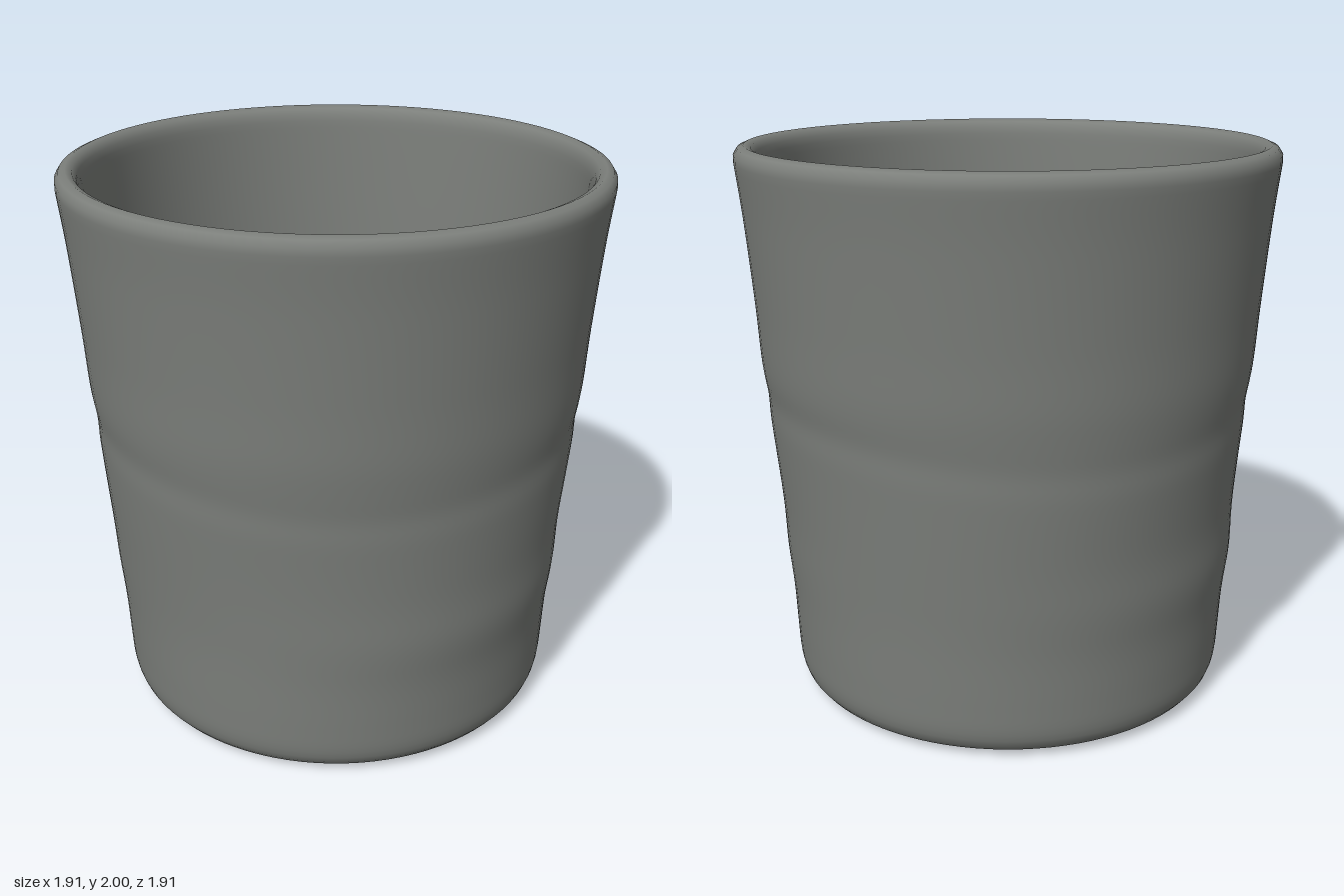
import * as THREE from 'three';
import { mergeVertices } from 'three/addons/utils/BufferGeometryUtils.js';

const SEGMENTS = 96;
const bump = (y, centre, width) => Math.exp(-(((y - centre) / width) ** 2));

// Turned profile, smoothed through a few points
function smoothProfile(points, samples) {
  const curve = new THREE.SplineCurve(points.map(([r, y]) => new THREE.Vector2(r, y)));
  return curve.getSpacedPoints(samples);
}

// Slight hand-made unevenness in the wall
function roughen(geometry) {
  const p = geometry.attributes.position;
  for (let i = 0; i < p.count; i++) {
    const x = p.getX(i), y = p.getY(i), z = p.getZ(i);
    const r = Math.hypot(x, z);
    if (r < 0.78) continue;
    const a = Math.atan2(z, x);
    const d = 0.012 * Math.sin(a) ** 2 * bump(y, 0.52, 0.13)
      - 0.004 * bump(y, 1.08 + 0.04 * Math.sin(2 * a), 0.06)
      + 0.003 * Math.sin(3 * a + 4 * y) * bump(y, 0.8, 0.5);
    p.setXYZ(i, x * (1 + d / r), y, z * (1 + d / r));
  }
}

export function createModel() {
  const model = new THREE.Group();
  model.name = 'cup';
  const stoneware = new THREE.MeshStandardMaterial({ color: 0x7c7f7b });
  stoneware.name = 'grey stoneware';

  // Outer wall, rounded foot, rolled rim and inner wall in one turned body
  const profile = [
    new THREE.Vector2(0, 0),
    new THREE.Vector2(0.35, 0),
    ...smoothProfile([
      [0.68, 0.003], [0.74, 0.01], [0.785, 0.035], [0.807, 0.09], [0.815, 0.2],
      [0.825, 0.42], [0.838, 0.6], [0.873, 1.0], [0.883, 1.12], [0.897, 1.25],
      [0.91, 1.45], [0.935, 1.75], [0.955, 1.93], [0.957, 1.965], [0.942, 1.99],
      [0.918, 2.0], [0.893, 1.987], [0.88, 1.955], [0.874, 1.88], [0.86, 1.6],
      [0.848, 1.3],
    ], 110),
  ];
  const body = new THREE.LatheGeometry(profile, SEGMENTS);
  roughen(body);
  body.deleteAttribute('uv');
  body.deleteAttribute('normal');
  const smoothBody = mergeVertices(body, 1e-4);
  smoothBody.computeVertexNormals();
  const cup = new THREE.Mesh(smoothBody, stoneware);
  cup.name = 'cupBody';
  model.add(cup);

  // Flat surface inside the cup
  const surface = new THREE.Mesh(new THREE.CircleGeometry(0.855, SEGMENTS), stoneware);
  surface.name = 'innerSurface';
  surface.rotation.x = -Math.PI / 2;
  surface.position.y = 1.35;
  model.add(surface);

  return model;
}
